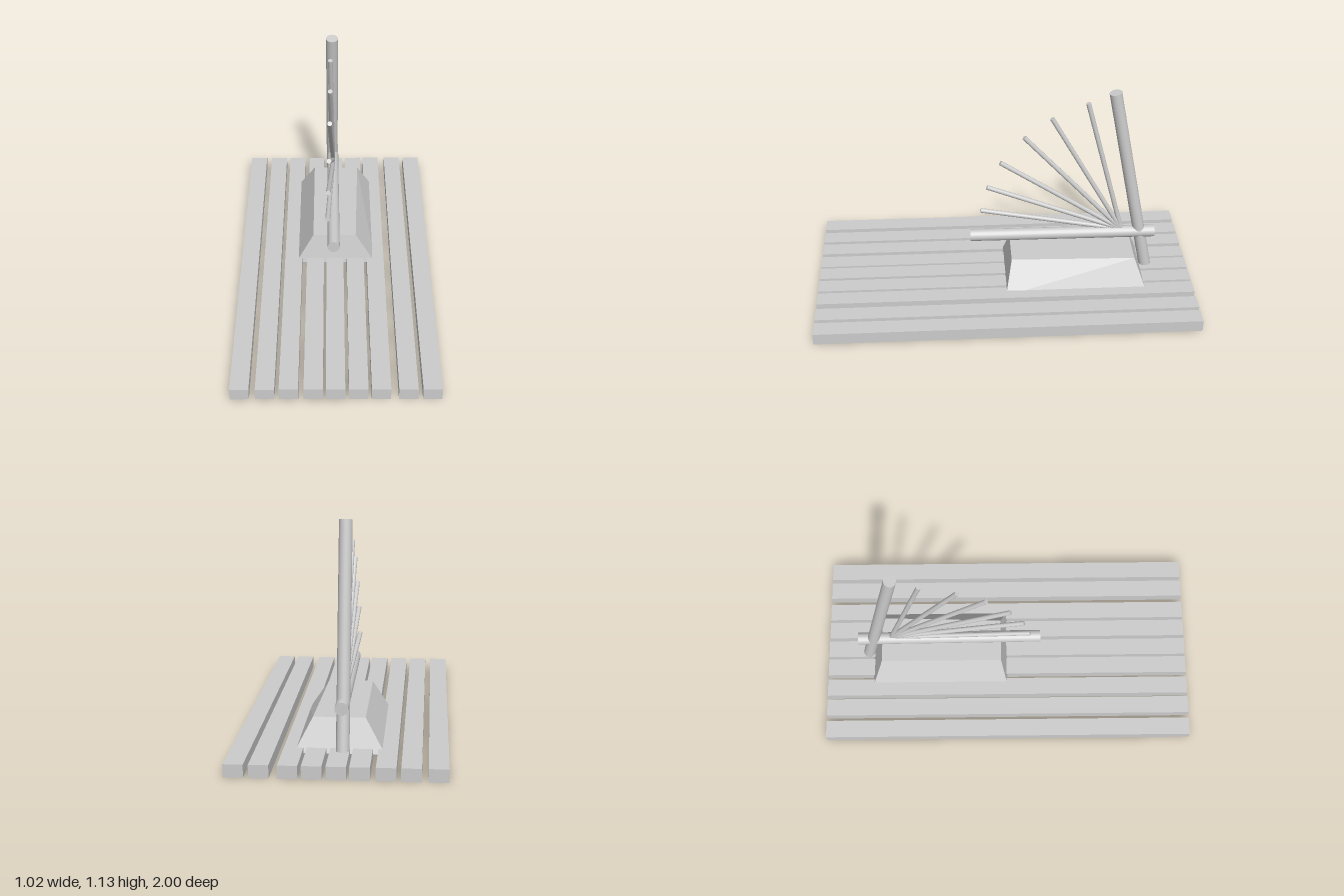
import * as THREE from 'three';

const material = new THREE.MeshStandardMaterial({ color: 0xcccccc });

function addMesh(parent, name, geometry) {
  const mesh = new THREE.Mesh(geometry, material);
  mesh.name = name;
  parent.add(mesh);
  return mesh;
}

// Closed cylinder running between two points
function addRod(parent, name, from, to, radius, sides) {
  const a = new THREE.Vector3(...from);
  const b = new THREE.Vector3(...to);
  const dir = b.clone().sub(a);
  const rod = addMesh(parent, name, new THREE.CylinderGeometry(radius, radius, dir.length(), sides));
  rod.position.copy(a).add(b).multiplyScalar(0.5);
  rod.quaternion.setFromUnitVectors(new THREE.Vector3(0, 1, 0), dir.normalize());
  return rod;
}

// Tapered block: a box whose corners are moved to a wide base and narrow top
function cabinGeometry() {
  const geometry = new THREE.BoxGeometry(1, 1, 1);
  const p = geometry.attributes.position;
  for (let i = 0; i < p.count; i++) {
    const right = p.getX(i) > 0, top = p.getY(i) > 0, front = p.getZ(i) > 0;
    if (top) {
      const x = right ? (front ? 0.11 : 0.13) : -0.12;
      p.setXYZ(i, x, 0.2, front ? -0.035 : -0.69);
    } else {
      p.setXYZ(i, right ? 0.215 : -0.215, 0.04, front ? 0 : -0.75);
    }
  }
  const flat = geometry.toNonIndexed();
  flat.computeVertexNormals();
  return flat;
}

export function createModel() {
  const model = new THREE.Group();
  model.name = 'raft';

  // Deck of unevenly spaced planks
  const deck = new THREE.Group();
  deck.name = 'deck';
  model.add(deck);
  for (const x of [-0.466, -0.343, -0.229, -0.11, -0.003, 0.108, 0.217, 0.348, 0.464]) {
    addMesh(deck, 'plank', new THREE.BoxGeometry(0.093, 0.063, 2)).position.set(x, 0.0315, 0);
  }

  // Low shelter standing on the deck
  addMesh(model, 'cabin', cabinGeometry());

  // Leaning mast and the boom crossing it
  addRod(model, 'mast', [-0.017, 0.05, -0.776], [-0.017, 1.121, -0.562], 0.032, 20);
  addRod(model, 'boom', [-0.014, 0.275, -0.812], [-0.01, 0.284, 0.18], 0.032, 20);

  // Thin ribs fanning out from the boom
  const ribs = new THREE.Group();
  ribs.name = 'sailRibs';
  model.add(ribs);
  const tips = [
    [-0.042, 0.42, 0.122], [-0.038, 0.567, 0.088], [-0.034, 0.718, 0.018],
    [-0.03, 0.868, -0.105], [-0.027, 0.977, -0.246], [-0.026, 1.06, -0.428],
  ];
  for (const tip of tips) addRod(ribs, 'rib', [-0.012, 0.295, -0.632], tip, 0.0125, 14);

  return model;
}
